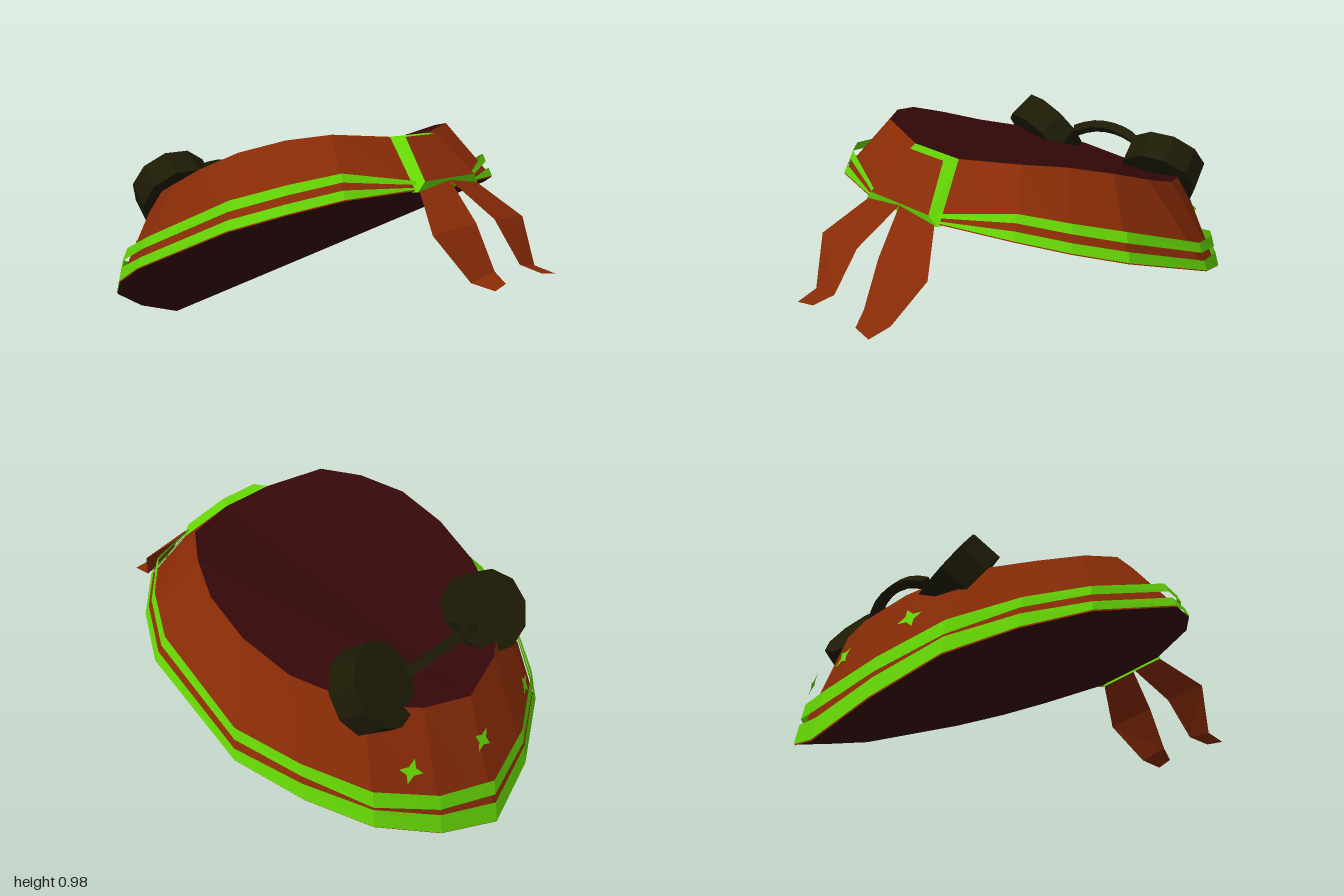
import * as THREE from 'three';

const mat = (name, color) => {
  const m = new THREE.MeshStandardMaterial({ color, flatShading: true, side: THREE.DoubleSide });
  m.name = name;
  return m;
};
const V = (a) => new THREE.Vector3(...a);

// Half outlines running from the back centre round the +x side to the front
const rim = [[0, 0, -1], [.28, .09, -.93], [.53, .21, -.79], [.69, .32, -.57], [.8, .43, -.31],
  [.765, .63, .175], [.645, .70, .37], [.49, .75, .515], [.19, .77, .63]];
const crown = [[0, .56, -.81], [.22, .6, -.755], [.42, .66, -.63], [.555, .74, -.37], [.592, .825, -.16],
  [.568, .905, .04], [.48, .957, .21], [.37, .98, .35], [.122, .96, .435]];
// Heights above the rim: lower band top, upper band bottom, upper band top
const heights = [[.1, .14, .21], [.09, .115, .18], [.08, .09, .157], [.07, .1, .15], [.05, .085, .13],
  [.045, .075, .115], [.042, .072, .108], [.04, .068, .1], [.012, .022, .036]];

const flip = (p) => [-p[0], p[1], p[2]];
const loop = (half) => [...half.slice(1).reverse().map(flip), ...half];

function mesh(name, points, material) {
  const g = new THREE.BufferGeometry().setFromPoints(points.map(V));
  g.computeVertexNormals();
  const m = new THREE.Mesh(g, material);
  m.name = name;
  return m;
}

const quad = (a, b, c, d) => [a, b, c, a, c, d];

// Strip of quads between two outlines (lower, upper), facing outward
function strip(lo, hi, closed = false) {
  const out = [], n = lo.length;
  for (let i = 0; i < (closed ? n : n - 1); i++) {
    const j = (i + 1) % n;
    out.push(...quad(lo[i], hi[i], hi[j], lo[j]));
  }
  return out;
}

// Fan of triangles across an outline, from its back point
function fan(half) {
  const out = [], ring = loop(half);
  ring.forEach((p, i) => {
    const q = ring[(i + 1) % ring.length];
    if (p !== half[0] && q !== half[0]) out.push(half[0], p, q);
  });
  return out;
}

export function createModel() {
  const group = new THREE.Group();
  const brown = mat('brown cloth', 0x882b06);
  const green = mat('green trim', 0x66d804);
  const maroon = mat('dark maroon lining', 0x36080a);
  const olive = mat('dark olive goggles', 0x1d1b05);

  // Sloping cloth wall, dark crown and dark underside
  const base = rim.map(([x, y, z]) => [x * .994, y + .001, z * .996]);
  group.add(mesh('clothWall', strip(loop(base), loop(crown), true), brown));
  group.add(mesh('crownPanel', fan(crown).reverse(), maroon));
  group.add(mesh('underside', fan(base), maroon));

  // Two trim bands, steeper than the wall so they stand off it
  const level = (k) => loop(rim.map((p, i) => {
    const h = k < 0 ? .006 : heights[i][k], c = crown[i];
    const t = h / (c[1] - p[1]) * .5;
    return [p[0] + (c[0] - p[0]) * t, p[1] + h, p[2] + (c[2] - p[2]) * t];
  }));
  group.add(mesh('lowerBand', strip(level(-1), level(0)), green));
  group.add(mesh('upperBand', strip(level(1), level(2)), green));

  // Raised front panel with green bevels
  const outer = [[.122, .96, .435], [.21, .765, .615]];
  const inner = [[.093, .961, .49], [.165, .805, .642]];
  const foot = [.2, .765, .635];
  group.add(mesh('frontPanel', quad(flip(inner[1]), inner[1], inner[0], flip(inner[0])), brown));
  const side = quad(inner[1], outer[1], outer[0], inner[0]);
  const sideLow = [inner[1], foot, outer[1]];
  const mirrored = (pts) => pts.map(flip).reverse();
  group.add(mesh('frontPanelTrim', [
    ...side, ...mirrored(side), ...sideLow, ...mirrored(sideLow),
    ...quad(flip(inner[0]), inner[0], outer[0], flip(outer[0])),
    ...quad(flip(foot), foot, inner[1], flip(inner[1])),
  ], green));

  // Tied cloth tails: [inner, outer] pairs from the knot to the tip
  const tail = [[[0, .795, .64], [.19, .768, .636]], [[.062, .65, .81], [.305, .63, .785]],
    [[.087, .48, .915], [.22, .455, .9]], [[.125, .45, .99], [.21, .438, 1]]];
  for (const s of [1, -1]) {
    const m = (p) => [p[0] * s, p[1], p[2]];
    const pts = [];
    for (let i = 0; i < 3; i++) {
      const [a, b] = tail[i], [c, d] = tail[i + 1];
      const q = quad(c, d, b, a).map(m);
      pts.push(...(s > 0 ? q : q.reverse()));
    }
    group.add(mesh(s > 0 ? 'leftTail' : 'rightTail', pts, brown));
  }

  // Goggles: two faceted discs, toed in slightly, joined by an arched bridge
  const goggles = new THREE.Group();
  goggles.name = 'goggles';
  const up = new THREE.Vector3(0, 1, 0);
  for (const s of [1, -1]) {
    const n = new THREE.Vector3(-.2 * s, .59, -.78).normalize();
    const lens = new THREE.Mesh(new THREE.CylinderGeometry(.173, .175, .13, 10), olive);
    lens.name = s > 0 ? 'leftLens' : 'rightLens';
    lens.quaternion.setFromUnitVectors(up, n);
    lens.position.set(.33 * s, .715, -.645).addScaledVector(n, -.06);
    goggles.add(lens);
  }
  const arch = new THREE.CatmullRomCurve3([[-.2, .70, -.65], [-.12, .735, -.675], [0, .75, -.685],
    [.12, .735, -.675], [.2, .70, -.65]].map(V));
  const bridge = new THREE.Mesh(new THREE.TubeGeometry(arch, 8, .027, 4), olive);
  bridge.name = 'bridge';
  goggles.add(bridge);
  group.add(goggles);

  // Small four-pointed marks on the back of the wall
  const star = new THREE.Shape();
  for (let i = 0; i < 8; i++) {
    const r = i % 2 ? .022 : .052, a = Math.PI / 4 + i * Math.PI / 4;
    star[i ? 'lineTo' : 'moveTo'](r * Math.cos(a), r * Math.sin(a));
  }
  const starGeo = new THREE.ShapeGeometry(star);
  const placeStar = (name, position, normal, roll) => {
    const m = new THREE.Mesh(starGeo, green);
    m.name = name;
    m.position.copy(position);
    m.lookAt(m.position.clone().add(normal));
    m.rotateZ(roll);
    group.add(m);
  };
  placeStar('backStar', V([0, .38, -.888]), V([0, .32, -.95]), 0);
  for (const s of [1, -1]) {
    placeStar(s > 0 ? 'leftStar' : 'rightStar', V([.365 * s, .415, -.825]), V([.42 * s, .33, -.84]), .4 * s);
  }

  return group;
}
